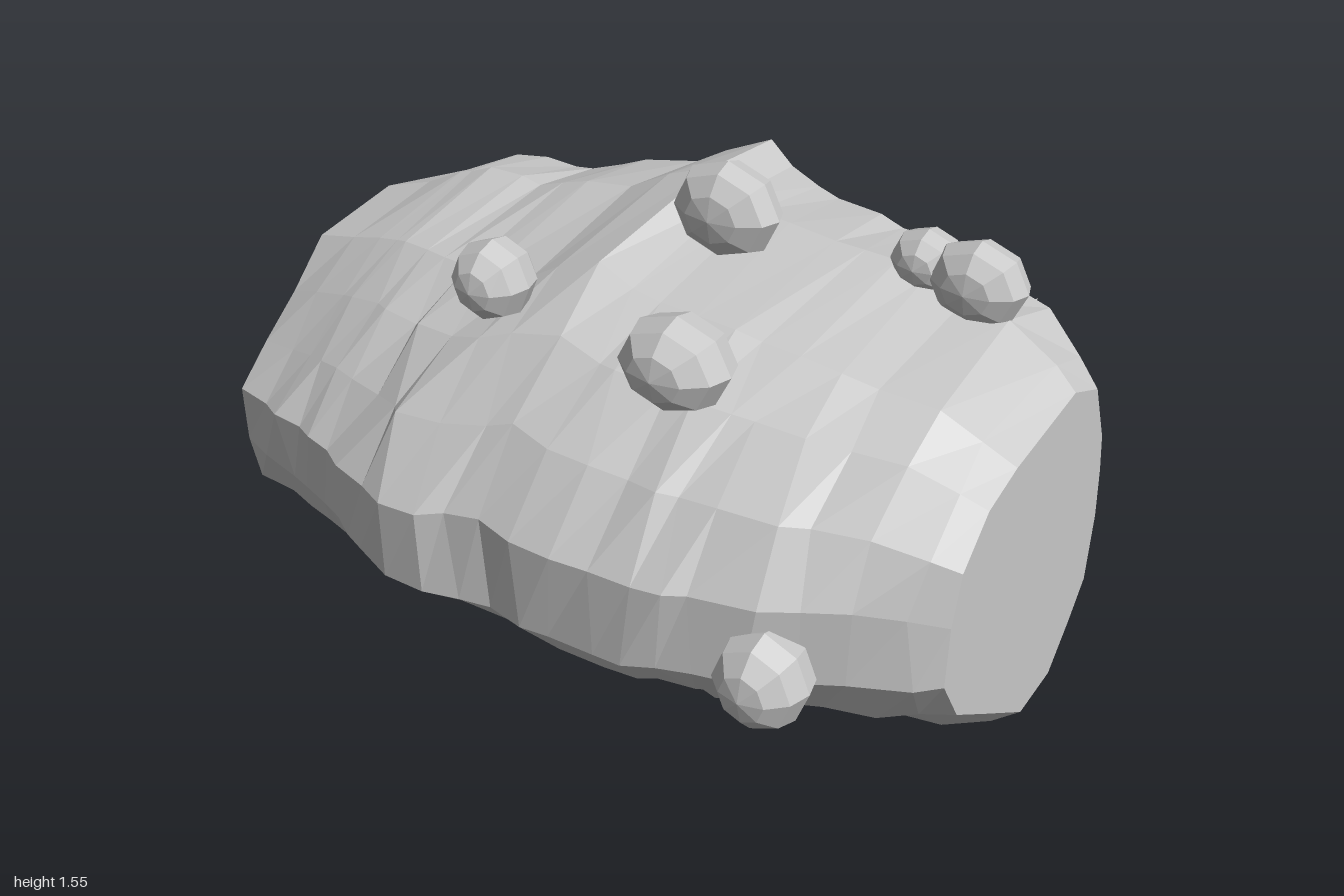
import * as THREE from 'three';

const grey = new THREE.MeshStandardMaterial({ color: 0xc8c8c8, flatShading: true });
grey.name = 'stone grey';

// Long axis of the body, around which the rings swell
const axisZ = .15, axisY = .71;

// Cross-sections as [z, y], from the keel up the back, over the top and down the front
const leftProfile = [[.15, .35], [0, .4], [-.1, .46], [-.16, .58], [-.19, .72], [-.2, .84], [-.2, .96], [-.13, 1.11],
  [0, 1.15], [.27, 1.12], [.39, 1.01], [.51, .92], [.615, .83], [.61, .68], [.58, .55], [.39, .46]];
const rightProfile = [[.15, .34], [0, .36], [-.1, .46], [-.17, .54], [-.2, .71], [-.2, .84], [-.19, .94], [-.13, 1.1],
  [0, 1.155], [.29, 1.11], [.42, 1.07], [.53, .97], [.57, .85], [.585, .7], [.51, .575], [.35, .47]];
const midProfile = [[.15, .01], [-.07, .1], [-.31, .27], [-.45, .49], [-.38, .68], [-.42, .91], [-.46, 1.12], [-.36, 1.36],
  [-.08, 1.4], [.37, 1.33], [.56, 1.23], [.73, 1.07], [.87, .88], [.87, .64], [.69, .46], [.47, .36]];

// Stations along the body: x, bottom, top, back, front
const stations = [
  [-1, .35, 1.15, -.21, .615], [-.8, .3, 1.23, -.31, .68], [-.66, .22, 1.26, -.35, .72], [-.52, .12, 1.26, -.36, .78],
  [-.36, .11, 1.3, -.39, .86], [-.25, .12, 1.33, -.41, .87], [-.15, .11, 1.37, -.43, .84], [-.05, .07, 1.42, -.46, .83],
  [.05, .04, 1.37, -.45, .845], [.14, .01, 1.36, -.41, .845], [.33, .08, 1.34, -.37, .84], [.48, .14, 1.32, -.38, .8],
  [.6, .18, 1.3, -.37, .77], [.8, .21, 1.26, -.31, .67], [.92, .28, 1.2, -.25, .62], [1, .34, 1.155, -.2, .585]];

// Small repeatable noise in -1..1
function makeNoise(seed) {
  return () => {
    seed = (seed * 16807) % 2147483647;
    return (seed / 2147483647) * 2 - 1;
  };
}

// Irregular rock body lofted through the stations
function createBody() {
  const { lerp, clamp } = THREE.MathUtils;
  const noise = makeNoise(71);
  const count = midProfile.length;
  const rows = [];
  stations.forEach((row, k) => {
    rows.push(row);
    const next = stations[k + 1];
    if (next && next[0] - row[0] > .13) rows.push(row.map((v, j) => (v + next[j]) / 2));
  });
  const positions = [], index = [];
  rows.forEach(([x, bottom, top, back, front], s) => {
    const [end, endFront] = x < 0 ? [leftProfile, .615] : [rightProfile, .585];
    const t = clamp((front - endFront) / (.855 - endFront), 0, 1);
    const ring = end.map((p, i) => [
      lerp(p[0], midProfile[i][0], t) - axisZ, lerp(p[1], midProfile[i][1], t) - axisY]);
    const zs = ring.map(p => p[0]), ys = ring.map(p => p[1]);
    // Fit each side of the ring to its station, then roughen it radially
    const up = (top - axisY) / Math.max(...ys), down = (bottom - axisY) / Math.min(...ys);
    const fore = (front - axisZ) / Math.max(...zs), aft = (back - axisZ) / Math.min(...zs);
    const rough = s === 0 || s === rows.length - 1 ? 0 : 1;
    ring.forEach(([z, y], i) => {
      const r = 1 + noise() * .015 * (i === 0 ? 0 : rough);
      positions.push(x + noise() * .028 * rough,
        axisY + y * r * (y > 0 ? up : down),
        axisZ + z * r * (z > 0 ? fore : aft));
    });
  });
  for (let s = 0; s < rows.length - 1; s++) {
    for (let i = 0; i < count; i++) {
      const a = s * count + i, c = s * count + (i + 1) % count;
      index.push(a, c, a + count, c, c + count, a + count);
    }
  }
  // Flat end faces
  const last = (rows.length - 1) * count;
  for (let i = 1; i < count - 1; i++) {
    index.push(0, i + 1, i);
    index.push(last, last + i, last + i + 1);
  }
  const geometry = new THREE.BufferGeometry();
  geometry.setAttribute('position', new THREE.Float32BufferAttribute(positions, 3));
  geometry.setIndex(index);
  const flat = geometry.toNonIndexed();
  flat.computeVertexNormals();
  return flat;
}

// Knobs: centre x, y, z and radii x, y, z
const knobs = [
  [.14, 1.435, .11, .14, .12, .093], [.29, 1.285, .555, .14, .113, .115], [-.25, 1.315, .505, .1, .1, .1],
  [.72, 1.335, -.05, .125, .105, .087], [.575, 1.345, -.07, .09, .077, .078], [.65, .7, .765, .117, .12, .112],
  [-.31, .115, .02, .14, .11, .09], [-.15, .42, -.43, .105, .1, .077], [.09, .3, -.37, .115, .1, .078]];

// Spikes: x, y, tip z, base radius
const spikes = [
  [-.535, .8, -.76, .065], [-.355, .74, -.545, .027], [-.205, .77, -.625, .03], [.05, .86, -.87, .04],
  [.135, .79, -.84, .037], [.41, .71, -.68, .043], [.515, .86, -.87, .073]];
const spikeBase = -.39;

export function createModel() {
  const model = new THREE.Group();
  model.name = 'rockLog';
  const add = (geometry, name) => {
    const mesh = new THREE.Mesh(geometry, grey);
    mesh.name = name;
    model.add(mesh);
    return mesh;
  };

  add(createBody(), 'body');

  // Faceted knobs with their poles along z
  const ball = new THREE.SphereGeometry(1, 8, 6).rotateX(Math.PI / 2);
  knobs.forEach(([x, y, z, rx, ry, rz], i) => {
    const knob = add(ball, `knob${i + 1}`);
    knob.position.set(x, y, z);
    knob.scale.set(rx, ry, rz);
  });

  // Spikes pointing straight out of the back
  spikes.forEach(([x, y, tip, radius], i) => {
    const length = spikeBase - tip;
    const cone = new THREE.ConeGeometry(radius, length, 8).rotateX(-Math.PI / 2);
    add(cone, `spike${i + 1}`).position.set(x, y, spikeBase - length / 2);
  });
  return model;
}
